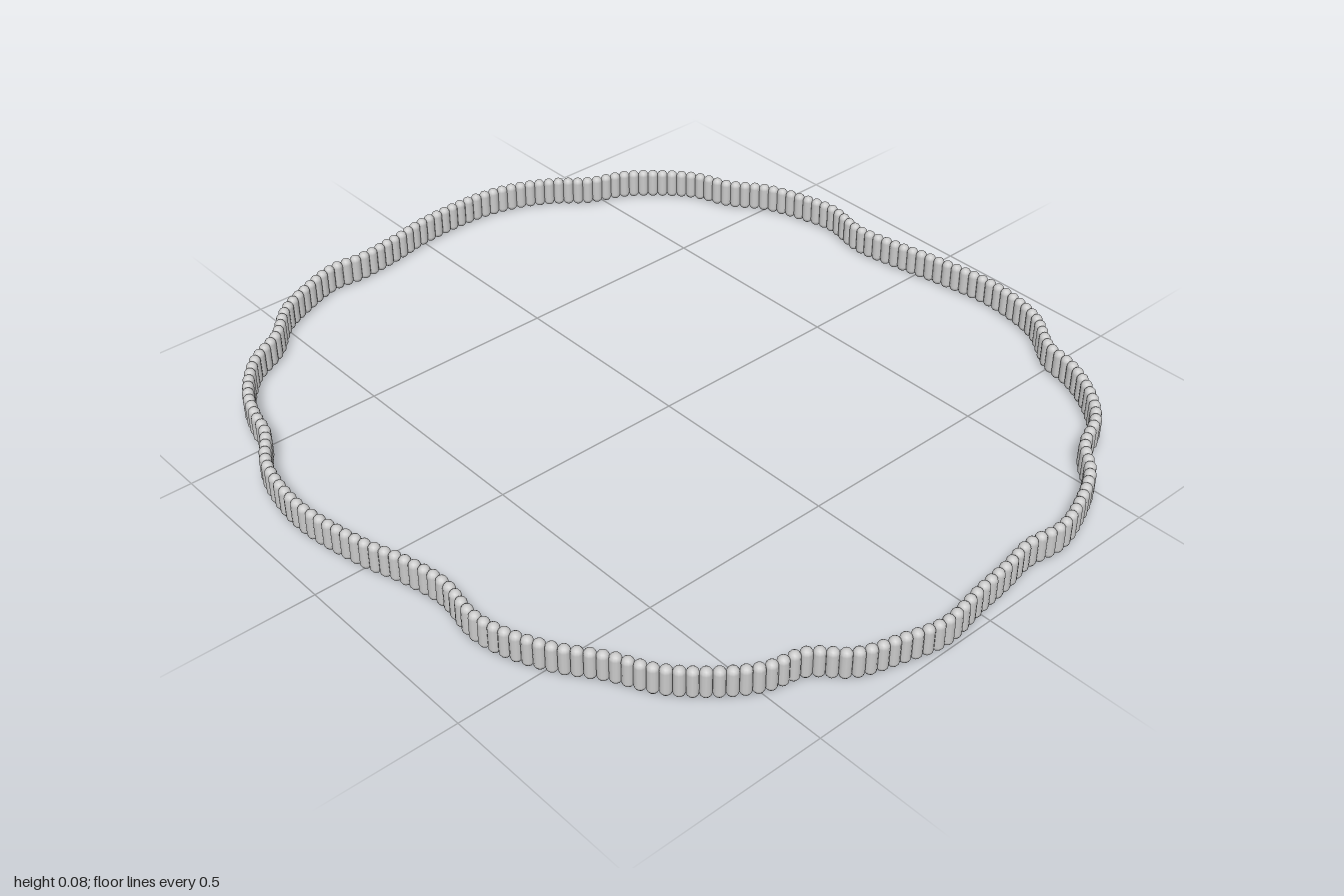
import * as THREE from 'three';
import { mergeGeometries } from 'three/addons/utils/BufferGeometryUtils.js';

// Plan outline of the band as x, z pairs
const OUTLINE = [
  0.18, -0.985, 0, -0.98, -0.1, -0.96, -0.22, -0.945, -0.31, -0.95, -0.4, -0.92, -0.5, -0.87,
  -0.58, -0.79, -0.68, -0.73, -0.76, -0.63, -0.795, -0.54, -0.81, -0.48, -0.87, -0.38, -0.895, -0.28,
  -0.9, -0.18, -0.87, -0.01, -0.835, 0.1, -0.815, 0.21, -0.83, 0.33, -0.815, 0.41, -0.77, 0.51,
  -0.7, 0.61, -0.655, 0.695, -0.58, 0.775, -0.49, 0.835, -0.4, 0.86, -0.33, 0.925, -0.23, 0.96,
  -0.125, 0.985, 0, 0.967, 0.1, 0.955, 0.185, 0.94, 0.285, 0.95, 0.385, 0.92, 0.48, 0.87,
  0.55, 0.8, 0.645, 0.755, 0.72, 0.675, 0.77, 0.58, 0.79, 0.5, 0.86, 0.4, 0.885, 0.32,
  0.895, 0.21, 0.875, 0.06, 0.85, -0.07, 0.835, -0.18, 0.857, -0.3, 0.835, -0.405, 0.8, -0.5,
  0.74, -0.58, 0.7, -0.675, 0.635, -0.75, 0.56, -0.81, 0.465, -0.85, 0.39, -0.91, 0.295, -0.96,
];
const HEIGHT = 0.078;
const RADIUS = 0.0142;
const PITCH = 0.0265;

export function createModel() {
  const group = new THREE.Group();
  group.name = 'wavyBand';
  const material = new THREE.MeshStandardMaterial({ color: 0xcccccc });

  const points = [];
  for (let i = 0; i < OUTLINE.length; i += 2) {
    points.push(new THREE.Vector3(OUTLINE[i], HEIGHT / 2, OUTLINE[i + 1]));
  }
  const path = new THREE.CatmullRomCurve3(points, true, 'centripetal');
  path.arcLengthDivisions = 1000;

  // Upright round-ended rods standing side by side along the outline
  const rod = new THREE.CapsuleGeometry(RADIUS, HEIGHT - 2 * RADIUS, 4, 12);
  const count = Math.round(path.getLength() / PITCH);
  const rods = [];
  for (let i = 0; i < count; i++) {
    const p = path.getPointAt(i / count);
    const t = path.getTangentAt(i / count);
    rods.push(rod.clone().rotateY(Math.atan2(t.x, t.z)).translate(p.x, p.y, p.z));
  }
  const mesh = new THREE.Mesh(mergeGeometries(rods), material);
  mesh.name = 'uprightRods';
  group.add(mesh);
  return group;
}
